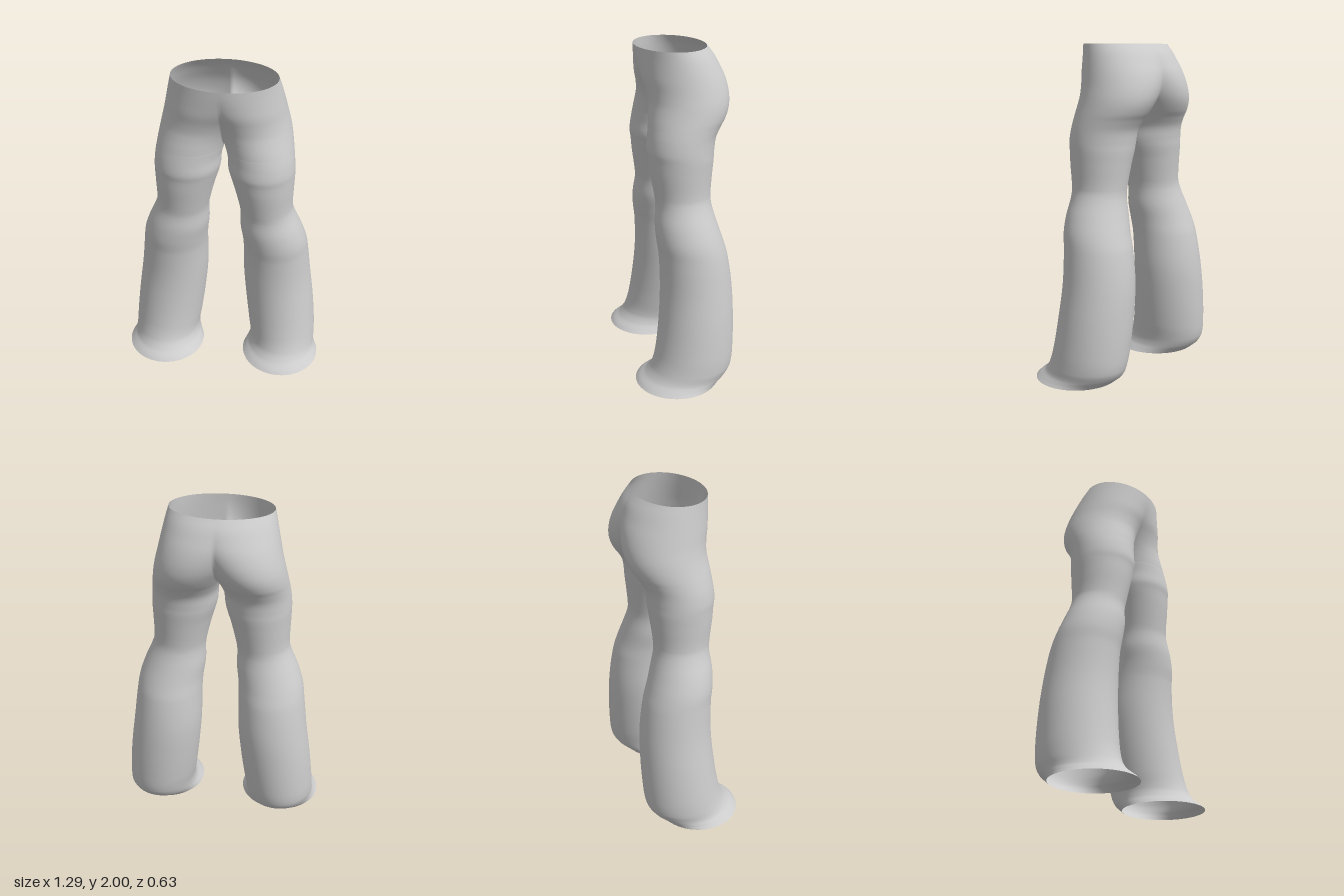
import * as THREE from 'three';
import { mergeVertices } from 'three/addons/utils/BufferGeometryUtils.js';

// Left half, hem to waist: [y, inner x, outer x, back z, front z].
// A negative inner x means the section is cut at the centre seam.
const KEYS = [
  [0, 0.14, 0.643, -0.19, 0.315],
  [0.02, 0.155, 0.628, -0.215, 0.295],
  [0.05, 0.173, 0.614, -0.25, 0.255],
  [0.1, 0.18, 0.612, -0.277, 0.218],
  [0.2, 0.165, 0.606, -0.29, 0.188],
  [0.4, 0.14, 0.584, -0.296, 0.16],
  [0.6, 0.122, 0.555, -0.29, 0.146],
  [0.8, 0.119, 0.53, -0.262, 0.15],
  [0.9, 0.113, 0.514, -0.233, 0.162],
  [1.0, 0.1, 0.48, -0.203, 0.165],
  [1.1, 0.1, 0.436, -0.177, 0.155],
  [1.16, 0.092, 0.419, -0.174, 0.16],
  [1.3, 0.058, 0.42, -0.188, 0.18],
  [1.38, 0.034, 0.422, -0.198, 0.188],
  [1.43, 0.023, 0.421, -0.202, 0.195],
  [1.5, 0.018, 0.414, -0.214, 0.188],
  [1.56, 0, 0.405, -0.246, 0.18],
  [1.6, -0.016, 0.398, -0.274, 0.175],
  [1.65, -0.042, 0.388, -0.298, 0.168],
  [1.7, -0.075, 0.377, -0.31, 0.165],
  [1.76, -0.115, 0.362, -0.311, 0.173],
  [1.83, -0.17, 0.346, -0.298, 0.19],
  [1.9, -0.232, 0.33, -0.27, 0.2],
  [1.95, -0.275, 0.318, -0.245, 0.206],
  [2, -0.305, 0.305, -0.208, 0.21],
];
const STEPS = 5, COLS = 72;

// Smooth (Hermite) interpolation of one column between two key rows
function sample(i, f, c) {
  const slope = (k) => {
    const a = KEYS[Math.max(k - 1, 0)], b = KEYS[Math.min(k + 1, KEYS.length - 1)];
    return (b[c] - a[c]) / (b[0] - a[0]);
  };
  const p = KEYS[i], q = KEYS[i + 1], h = q[0] - p[0], g = 1 - f;
  return p[c] * (1 + 2 * f) * g * g + q[c] * f * f * (3 - 2 * f)
    + h * f * g * (slope(i) * g - slope(i + 1) * f);
}

// One row of points: a full ellipse for the leg, an open arc above the crotch
function section(i, f) {
  const y = KEYS[i][0] + (KEYS[i + 1][0] - KEYS[i][0]) * f;
  const [xin, xout, back, front] = [1, 2, 3, 4].map((c) => sample(i, f, c));
  const cx = (xin + xout) / 2, rx = (xout - xin) / 2;
  const cz = (back + front) / 2, rz = (front - back) / 2;
  const limit = xin < 0 ? Math.acos(-cx / rx) : Math.PI;
  const row = [];
  for (let j = 0; j <= COLS; j++) {
    const t = limit * (2 * j / COLS - 1);
    row.push([Math.max(0, cx + rx * Math.cos(t)), y, cz + rz * Math.sin(t)]);
  }
  return row;
}

function trouserGeometry() {
  const rows = [];
  for (let i = 0; i < KEYS.length - 1; i++) {
    for (let s = 0; s < STEPS; s++) rows.push(section(i, s / STEPS));
  }
  rows.push(section(KEYS.length - 2, 1));

  // Both halves share one geometry so the centre seam is shaded smoothly
  const positions = [], index = [];
  for (const side of [1, -1]) {
    const base = positions.length / 3;
    rows.forEach((row) => row.forEach(([x, y, z]) => positions.push(side * x, y, z)));
    for (let r = 0; r < rows.length - 1; r++) {
      for (let j = 0; j < COLS; j++) {
        const a = base + r * (COLS + 1) + j, b = a + 1;
        const c = a + COLS + 1, d = c + 1;
        if (side > 0) index.push(a, c, b, b, c, d);
        else index.push(a, b, c, b, d, c);
      }
    }
  }
  let geometry = new THREE.BufferGeometry();
  geometry.setAttribute('position', new THREE.Float32BufferAttribute(positions, 3));
  geometry.setIndex(index);
  geometry = mergeVertices(geometry, 1e-4);
  geometry.computeVertexNormals();
  return geometry;
}

export function createModel() {
  const group = new THREE.Group();
  group.name = 'trousers';
  const cloth = new THREE.MeshStandardMaterial({ color: 0xcccccc, side: THREE.DoubleSide });
  const mesh = new THREE.Mesh(trouserGeometry(), cloth);
  mesh.name = 'flaredTrousers';
  group.add(mesh);
  return group;
}
